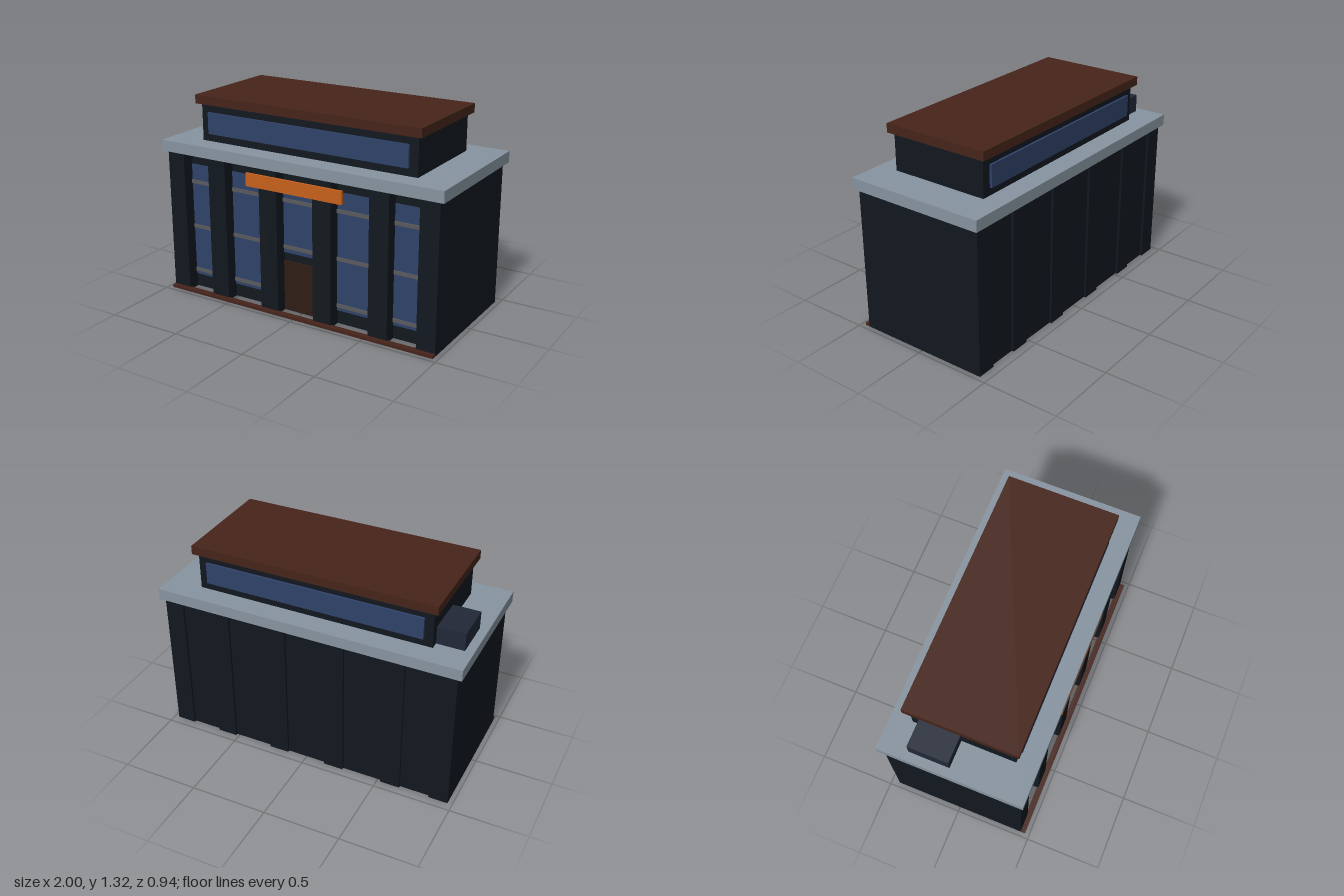
import * as THREE from 'three';

const mat = (color) => new THREE.MeshStandardMaterial({ color, flatShading: true });

export function createModel() {
  const model = new THREE.Group();
  const wall = mat(0x12181f);
  const glass = mat(0x2f4269);
  const bar = mat(0x5a5a5c);
  const stone = mat(0x8794a0);
  const roofing = mat(0x46241a);
  const wood = mat(0x2e1c14);
  const orange = mat(0xc8611c);
  const metal = mat(0x212837);

  // Box given by its extents along each axis
  function block(name, material, [x0, x1], [y0, y1], [z0, z1]) {
    const mesh = new THREE.Mesh(new THREE.BoxGeometry(x1 - x0, y1 - y0, z1 - z0), material);
    mesh.position.set((x0 + x1) / 2, (y0 + y1) / 2, (z0 + z1) / 2);
    mesh.name = name;
    model.add(mesh);
  }

  // Main storey: recessed core with full-depth pillars
  block('mainWalls', wall, [-0.96, 0.96], [0, 0.94], [-0.43, 0.355]);
  const pillars = [[0.845, 0.97], [0.52, 0.65], [0.13, 0.26]];
  for (const [a, b] of pillars) {
    block('pillarLeft', wall, [a, b], [0, 0.95], [-0.445, 0.44]);
    block('pillarRight', wall, [-b, -a], [0, 0.95], [-0.445, 0.44]);
  }

  // Front bays: tall windows with crossbars
  const bays = [[-0.845, -0.65], [-0.52, -0.26], [-0.13, 0.13], [0.26, 0.52], [0.65, 0.845]];
  bays.forEach((bay, i) => {
    const sill = i === 2 ? 0.395 : 0.09;
    block('window', glass, bay, [sill, 0.86], [0.345, 0.363]);
    for (const y of [0.125, 0.435, 0.743]) {
      if (y > sill) block('windowBar', bar, bay, [y - 0.012, y + 0.012], [0.35, 0.37]);
    }
  });

  // Entrance, sign board and front step
  block('door', wood, [-0.13, 0.13], [0.002, 0.34], [0.345, 0.365]);
  block('signBoard', orange, [-0.345, 0.345], [0.82, 0.905], [0.441, 0.457]);
  block('frontStep', roofing, [-0.97, 0.97], [0, 0.018], [0.43, 0.47]);

  // Cornice slab with a shallow lip closing the tops of the bays
  block('corniceLip', stone, [-0.95, 0.95], [0.94, 0.95], [-0.437, 0.43]);
  block('cornice', stone, [-1, 1], [0.949, 1.022], [-0.467, 0.46]);

  // Upper storey with a long window on the front and the back
  block('upperWalls', wall, [-0.77, 0.77], [1.02, 1.265], [-0.33, 0.325]);
  block('upperWindowFront', glass, [-0.715, 0.715], [1.073, 1.213], [0.327, 0.342]);
  block('upperWindowBack', glass, [-0.715, 0.715], [1.073, 1.213], [-0.347, -0.332]);
  block('roof', roofing, [-0.8, 0.8], [1.264, 1.321], [-0.36, 0.354]);

  // Rooftop ventilation unit
  block('ventilationUnit', metal, [-0.945, -0.765], [1.02, 1.137], [-0.28, -0.02]);

  return model;
}
